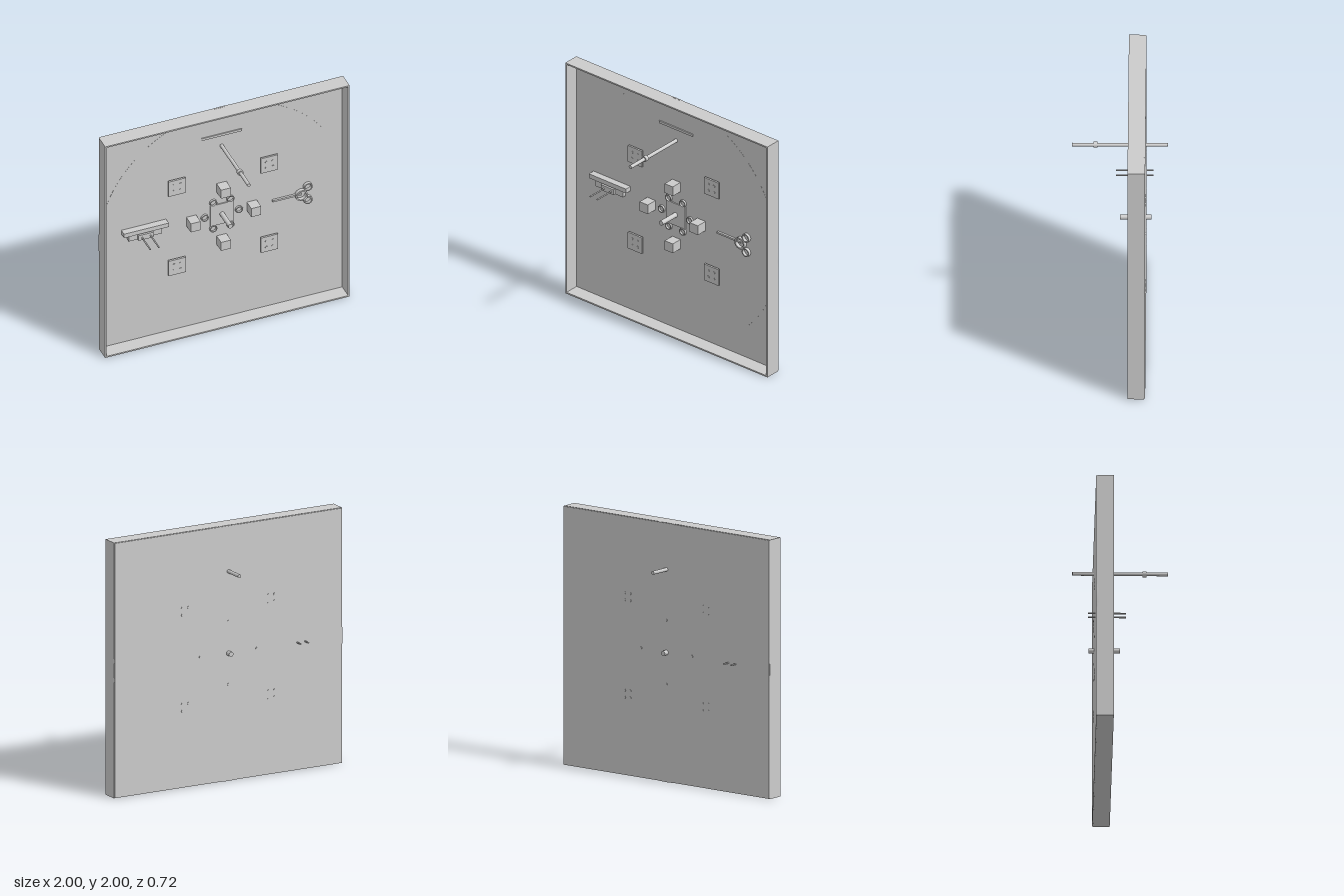
import * as THREE from 'three';

const material = new THREE.MeshStandardMaterial({ color: 0xcccccc, side: THREE.DoubleSide });

export function createModel() {
  const model = new THREE.Group();

  function add(name, geometry, x, y, z) {
    const mesh = new THREE.Mesh(geometry, material);
    mesh.name = name;
    mesh.position.set(x, y, z);
    model.add(mesh);
    return mesh;
  }
  // Box given by its centre, size and depth range
  function box(name, x, y, w, h, z0, z1) {
    return add(name, new THREE.BoxGeometry(w, h, z1 - z0), x, y, (z0 + z1) / 2);
  }
  // Round bar running along z
  function rod(name, x, y, r, z0, z1, sides = 24) {
    const g = new THREE.CylinderGeometry(r, r, z1 - z0, sides).rotateX(Math.PI / 2);
    return add(name, g, x, y, (z0 + z1) / 2);
  }
  // Short hollow collar facing the front
  function ring(name, x, y, r, z0, z1) {
    const shape = new THREE.Shape().absarc(0, 0, r, 0, Math.PI * 2);
    shape.holes.push(new THREE.Path().absarc(0, 0, r * 0.75, 0, Math.PI * 2, true));
    const g = new THREE.ExtrudeGeometry(shape, { depth: z1 - z0, bevelEnabled: false, curveSegments: 16 });
    return add(name, g, x, y, z0);
  }

  const back = -0.195, face = -0.18, rim = -0.062;

  // Shallow open tray: back panel, round dial and four walls
  box('backPanel', 0, 1, 1.99, 1.99, back, face);
  rod('dial', 0, 1, 1, back + 0.003, face + 0.001, 96);
  for (const s of [-1, 1]) {
    box('sideWall', s * 0.992, 1, 0.012, 1.996, back + 0.008, rim);
    box('endWall', 0, 1 + s * 0.992, 1.996, 0.012, back + 0.008, rim);
  }

  // Centre plate, shaft and circle of rings
  box('centrePlate', 0, 1, 0.19, 0.19, face, -0.17);
  rod('centreShaft', 0, 1, 0.019, -0.237, 0);
  for (let i = 0; i < 6; i++) {
    const a = (i * Math.PI) / 3;
    ring('centreRing', 0.14 * Math.cos(a), 1 + 0.14 * Math.sin(a), 0.03, face, -0.163);
  }

  // Four blocks around the centre, each with a peg through the panel
  for (let i = 0; i < 4; i++) {
    const a = (i * Math.PI) / 2;
    const x = 0.247 * Math.cos(a), y = 1.003 + 0.247 * Math.sin(a);
    box('block', x, y, 0.08, 0.08, face, -0.09);
    rod('blockPeg', x, y, 0.01, -0.2, face, 16);
  }

  // Four corner plates held on pins
  for (const sx of [-1, 1]) for (const sy of [-1, 1]) {
    const x = sx * 0.377, y = 1.005 + sy * 0.375;
    box('cornerPlate', x, y, 0.14, 0.14, -0.155, -0.14);
    for (const px of [-1, 1]) for (const py of [-1, 1]) {
      rod('platePin', x + px * 0.027, y + py * 0.027, 0.01, -0.198, -0.137, 12);
    }
  }

  // Long upper rod with collar, and the strip above it
  rod('upperRod', 0, 1.64, 0.014, -0.36, 0.36);
  rod('rodCollar', 0, 1.64, 0.023, 0.17, 0.2);
  box('upperStrip', 0, 1.745, 0.33, 0.02, face, -0.17);

  // Shelf bracket with two thin pins
  box('shelf', -0.635, 1.057, 0.365, 0.037, face, -0.125);
  box('bracketBar', -0.635, 1.002, 0.27, 0.047, face, -0.145);
  box('bracketBlock', -0.638, 1.002, 0.125, 0.047, face, -0.125);
  for (const x of [-0.67, -0.6]) rod('bracketPin', x, 1, 0.006, -0.25, 0.035, 12);

  // Pointer bar with a cluster of rings
  box('pointerBar', 0.53, 1, 0.235, 0.015, face, -0.162);
  ring('largeRing', 0.645, 0.995, 0.048, face, -0.15);
  for (const s of [-1, 1]) ring('smallRing', 0.7, 0.995 + s * 0.062, 0.035, face, -0.155);

  return model;
}
